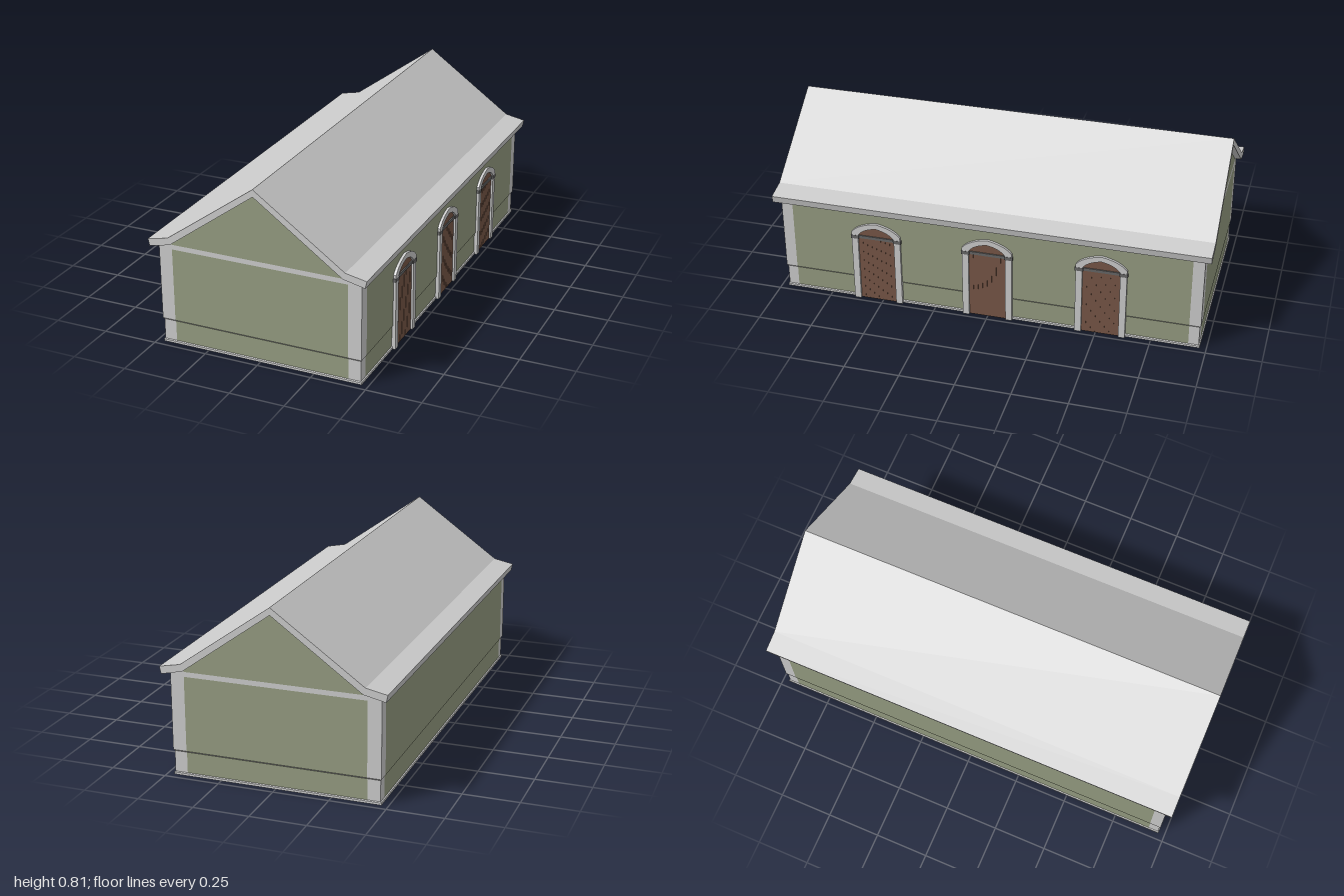
import * as THREE from 'three';

const mat = (color, side = THREE.FrontSide) => new THREE.MeshStandardMaterial({ color, side, flatShading: true });
const grey = mat(0xcccccc), brown = mat(0x765646), dark = mat(0x666666);
const greyShell = mat(0xcccccc, THREE.DoubleSide), greenShell = mat(0x949b80, THREE.DoubleSide);

const HX = 0.47, HZ = 0.97; // half width and half length of the walls

function add(parent, name, geometry, material) {
  const mesh = new THREE.Mesh(geometry, material);
  mesh.name = name;
  parent.add(mesh);
  return mesh;
}

function shapeOf(points) {
  return new THREE.Shape(points.map(([x, y]) => new THREE.Vector2(x, y)));
}

const extrude = (shape, depth) =>
  new THREE.ExtrudeGeometry(shape, { depth, bevelEnabled: false, curveSegments: 8 });

// Upright strip of quads through [y, inset] steps, from a to b along the wall
function strip(a, b, steps, half) {
  const pos = [], index = [];
  steps.forEach(([y, inset], i) => {
    for (const u of [a, b]) {
      const outer = Math.abs(u) > half - 0.001;
      // corner ends are mitred with the inset
      pos.push(outer ? u - Math.sign(u) * inset : u, y, -inset);
    }
    if (i) {
      const k = (i - 1) * 2;
      index.push(k, k + 1, k + 3, k, k + 3, k + 2);
    }
  });
  const g = new THREE.BufferGeometry();
  g.setAttribute('position', new THREE.Float32BufferAttribute(pos, 3));
  g.setIndex(index);
  g.computeVertexNormals();
  return g;
}

// One wall facing +z: corner piers, green panels and grey string courses
function wall(name, half, pier, bandY, topY) {
  const g = new THREE.Group();
  g.name = name;
  const inner = half - pier;
  const profile = [[0, 0], [0.01, 0], [0.013, 0.005], [0.108, 0.005], [0.114, 0], [0.472, 0]];
  add(g, 'leftPier', strip(-half, -inner, profile, half), greyShell);
  add(g, 'rightPier', strip(inner, half, profile, half), greyShell);
  const courses = [
    ['baseCourse', [[0, 0], [0.01, 0], [0.013, 0.005]], greyShell],
    ['plinthPanel', [[0.013, 0.005], [0.108, 0.005]], greenShell],
    ['plinthCourse', [[0.108, 0.005], [0.114, 0]], greyShell],
    ['wallPanel', [[0.114, 0], [bandY, 0]], greenShell],
    ['topBand', [[bandY, 0], [topY, 0]], greyShell],
  ];
  for (const [part, steps, m] of courses) add(g, part, strip(-inner, inner, steps, half), m);
  return g;
}

// Half-arch on each side, from (h, spring) over the crown and down to (-h, spring)
function arch(path, h, spring, crown) {
  const cx = h * 0.74, cy = spring + (crown - spring) * 0.75;
  path.quadraticCurveTo(cx, cy, 0, crown);
  path.quadraticCurveTo(-cx, cy, -h, spring);
}

function doorway(z) {
  const g = new THREE.Group();
  g.name = 'doorway';

  // Arched stone surround
  const s = new THREE.Shape();
  s.moveTo(0.085, 0);
  s.lineTo(0.115, 0);
  s.lineTo(0.115, 0.355);
  arch(s, 0.115, 0.355, 0.41);
  s.lineTo(-0.115, 0);
  s.lineTo(-0.085, 0);
  s.lineTo(-0.085, 0.34);
  s.quadraticCurveTo(-0.063, 0.375, 0, 0.385);
  s.quadraticCurveTo(0.063, 0.375, 0.085, 0.34);
  add(g, 'surround', extrude(s, 0.018), grey).position.z = -0.006;

  // Door leaf with arched head
  const d = new THREE.Shape();
  d.moveTo(-0.086, 0);
  d.lineTo(0.086, 0);
  d.lineTo(0.086, 0.34);
  arch(d, 0.086, 0.34, 0.386);
  add(g, 'doorLeaf', extrude(d, 0.007), brown).position.z = -0.005;

  // Planks
  for (let i = 0; i < 8; i++) {
    const plank = add(g, 'plank', new THREE.BoxGeometry(0.0192, 0.323, 0.002), brown);
    plank.position.set((i - 3.5) * 0.0212, 0.1625, 0.002);
  }

  // Transom and the impost blocks at the springing of the arch
  add(g, 'transom', new THREE.BoxGeometry(0.17, 0.014, 0.006), dark).position.set(0, 0.331, 0.004);
  for (const side of [-1, 1]) {
    const impost = add(g, 'impost', new THREE.BoxGeometry(0.037, 0.017, 0.02), dark);
    impost.position.set(side * 0.1, 0.331, 0.003);
  }

  g.rotation.y = Math.PI / 2;
  g.position.set(HX, 0, z);
  return g;
}

export function createModel() {
  const model = new THREE.Group();
  model.name = 'hall';

  // Gable ends and long sides
  for (const side of [1, -1]) {
    const end = wall(side > 0 ? 'frontWall' : 'backWall', HX, 0.062, 0.452, 0.474);
    const gable = shapeOf([[-0.408, 0.474], [0.408, 0.474], [0.408, 0.488], [0, 0.78], [-0.408, 0.488]]);
    add(end, 'gable', new THREE.ShapeGeometry(gable), greenShell);
    for (const s of [1, -1]) {
      const cap = shapeOf([[s * 0.408, 0.472], [s * HX, 0.472], [s * 0.408, 0.488]]);
      add(end, 'pierCap', new THREE.ShapeGeometry(cap), greyShell);
    }
    end.position.z = side * HZ;
    end.rotation.y = side > 0 ? 0 : Math.PI;
    model.add(end);

    const long = wall(side > 0 ? 'leftWall' : 'rightWall', HZ, 0.052, 0.456, 0.472);
    long.position.x = side * HX;
    long.rotation.y = side * Math.PI / 2;
    model.add(long);
  }

  // Roof with flared eaves
  const half = [[0.41, 0.517], [0.505, 0.498], [0.498, 0.465], [0.4, 0.487]];
  const mirrored = half.map(([x, y]) => [-x, y]).reverse();
  const roof = extrude(shapeOf([[0, 0.81], ...half, [0, 0.777], ...mirrored]), 2);
  add(model, 'roof', roof, grey).position.z = -1;

  // Three doorways along one long side
  for (const z of [-0.52, 0, 0.52]) model.add(doorway(z));

  return model;
}
